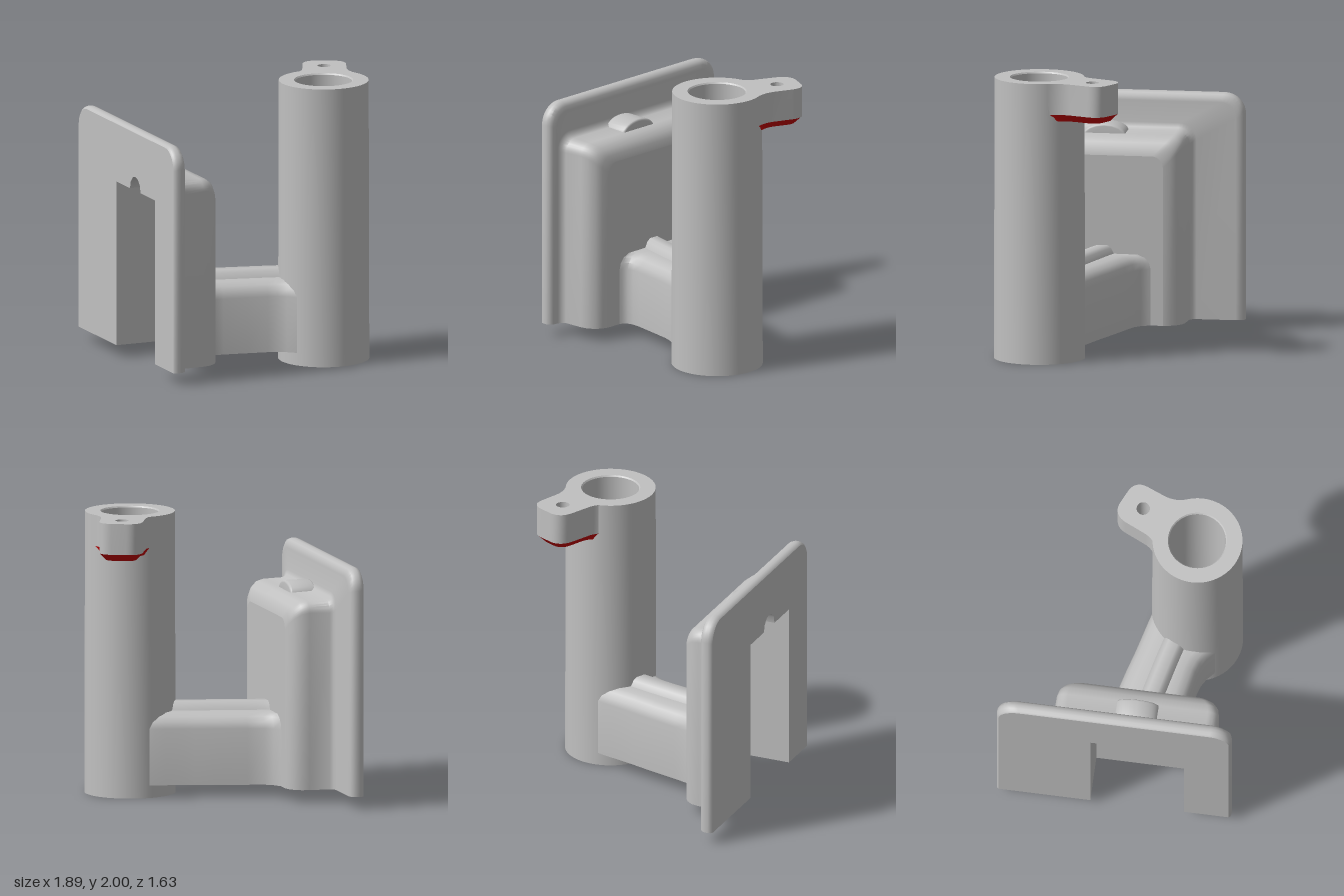
import * as THREE from 'three';
import { toCreasedNormals } from 'three/addons/utils/BufferGeometryUtils.js';

const V2 = (x, y) => new THREE.Vector2(x, y);
const V3 = (x, y, z) => new THREE.Vector3(x, y, z);
const BASE = 0.09; // underside of bracket and arm

// Skin a row of equally long cross-sections
function loft(sections, closed = false) {
  const n = sections[0].length, index = [];
  for (let i = 0; i < sections.length - 1; i++) {
    for (let j = 0; j < (closed ? n : n - 1); j++) {
      const a = i * n + j, b = i * n + (j + 1) % n;
      index.push(a, b, a + n, b, b + n, a + n);
    }
  }
  const g = new THREE.BufferGeometry().setFromPoints(sections.flat());
  g.setIndex(index);
  return toCreasedNormals(g, 0.7);
}

// Flat face from a 2D outline, placed in space by a mapping
function face(points, place, hole) {
  const shape = new THREE.Shape(points);
  if (hole) shape.holes.push(new THREE.Path(hole));
  const g = new THREE.ShapeGeometry(shape), p = g.attributes.position;
  for (let i = 0; i < p.count; i++) {
    const v = place(p.getX(i), p.getY(i));
    p.setXYZ(i, v.x, v.y, v.z);
  }
  g.computeVertexNormals();
  return g;
}

// Upside-down U outline with rounded top corners, open at the base
function archOutline(c, h, top, r) {
  const pts = [V2(c - h, BASE)];
  for (const [cx, from] of [[c - h + r, Math.PI], [c + h - r, Math.PI / 2]]) {
    for (let i = 0; i <= 8; i++) {
      const a = from - i * Math.PI / 16;
      pts.push(V2(cx + r * Math.cos(a), top - r + r * Math.sin(a)));
    }
  }
  pts.push(V2(c + h, BASE));
  return pts;
}

const circle = (x, y, r, n = 32) => Array.from({ length: n }, (_, i) => {
  const a = i / n * Math.PI * 2;
  return V2(x + r * Math.cos(a), y + r * Math.sin(a));
});

export function createModel() {
  const grey = new THREE.MeshStandardMaterial({ color: 0xc0c0c0, side: THREE.DoubleSide });
  grey.name = 'light grey';
  const red = new THREE.MeshStandardMaterial({ color: 0xc60000, side: THREE.DoubleSide });
  red.name = 'red';
  const model = new THREE.Group();
  const add = (parent, name, geometry, material = grey) => {
    const m = new THREE.Mesh(geometry, material);
    m.name = name;
    parent.add(m);
    return m;
  };

  // Bracket: back plate running into the rounded housing (local x = outward, z = along the plate)
  const bracket = new THREE.Group();
  bracket.name = 'bracket';
  bracket.position.x = -0.715;
  bracket.rotation.y = 0.2213;
  model.add(bracket);
  const steps = [ // depth, centre, half width, top, corner radius
    [-0.05, 0, 0.815, 1.685, 0.14], [-0.04, 0, 0.827, 1.697, 0.15], [-0.02, 0, 0.832, 1.703, 0.15],
    [0.005, 0, 0.832, 1.703, 0.15], [0.03, 0, 0.822, 1.693, 0.14], [0.045, 0, 0.8, 1.67, 0.13],
    [0.05, 0, 0.77, 1.64, 0.11], [0.05, 0.135, 0.625, 1.485, 0.12], [0.06, 0.135, 0.598, 1.453, 0.1],
    [0.085, 0.135, 0.58, 1.435, 0.09], [0.23, 0.135, 0.575, 1.43, 0.08], [0.285, 0.135, 0.562, 1.418, 0.08],
    [0.33, 0.135, 0.53, 1.385, 0.08], [0.358, 0.135, 0.49, 1.345, 0.08], [0.37, 0.135, 0.44, 1.295, 0.08],
  ];
  const outlines = steps.map(([, ...rest]) => archOutline(...rest));
  const at = (t) => (s, y) => V3(t, y, s);
  add(bracket, 'plateAndHousing', loft(outlines.map((o, i) => o.map((p) => at(steps[i][0])(p.x, p.y)))));
  add(bracket, 'housingFace', face(outlines.at(-1), at(0.37)));

  // Slot in the back, with a small arched notch above
  const s0 = -0.165, s1 = 0.5, depth = 0.27;
  const slot = [V2(s1, BASE), V2(s1, 1.27), V2(0.25, 1.27), V2(0.24, 1.32), V2(0.2, 1.36),
    V2(0.16, 1.37), V2(0.12, 1.36), V2(0.08, 1.32), V2(0.07, 1.27), V2(s0, 1.27), V2(s0, BASE)];
  add(bracket, 'plateBack', face([...outlines[0], ...slot], at(-0.05)));
  add(bracket, 'slotWalls', loft([-0.05, depth].map((t) => slot.map((p) => at(t)(p.x, p.y)))));
  add(bracket, 'slotEnd', face(slot, at(depth)));
  const low = steps.map(([t, c, h]) => V2(t, c - h));
  const high = steps.map(([t, c, h]) => V2(t, c + h)).reverse();
  add(bracket, 'bracketUnderside', face(
    [...low, ...high, V2(-0.05, s1), V2(depth, s1), V2(depth, s0), V2(-0.05, s0)],
    (t, s) => V3(t, BASE, s)));

  // Rounded bump on top of the housing
  const arch = [];
  for (let i = 0; i <= 16; i++) {
    const a = Math.PI * i / 16;
    arch.push(V2(-0.14 * Math.cos(a), 0.075 * Math.sin(a)));
  }
  const bump = add(bracket, 'housingBump', toCreasedNormals(new THREE.ExtrudeGeometry(new THREE.Shape(arch),
    { depth: 0.16, bevelEnabled: true, bevelSize: 0.015, bevelThickness: 0.015, bevelSegments: 3 }), 0.7));
  bump.rotation.y = -Math.PI / 2;
  bump.position.set(0.22, 1.405, 0.135);

  // Arm with a ridge, flaring into the housing and the tube
  const tx = 0.63, tz = 0.125;
  const armSteps = [ // x, skew, z min, z max
    [-0.35, 0.225, -0.33, 0.42], [-0.33, 0.225, -0.28, 0.355], [-0.3, 0.22, -0.24, 0.32],
    [-0.25, 0.2, -0.212, 0.3], [-0.15, 0.1, -0.205, 0.29], [0.05, 0, -0.197, 0.283],
    [0.2, 0, -0.187, 0.278], [0.27, 0, -0.184, 0.285], [0.33, 0, -0.182, 0.305],
    [0.4, 0, -0.18, 0.345], [0.47, 0, -0.178, 0.37], [0.55, 0, -0.172, 0.37],
  ];
  const armSections = armSteps.map(([x0, skew, a, b], i) => {
    const k = 0.03 * i / armSteps.length - 0.01;
    return [[a, BASE], [a, 0.49], [a + 0.012, 0.535], [a + 0.04, 0.57], [a + 0.09, 0.593],
      [-0.03 + k, 0.595], [-0.01 + k, 0.635], [0.015 + k, 0.655], [0.085 + k, 0.655], [0.11 + k, 0.635],
      [0.13 + k, 0.595], [b - 0.09, 0.593], [b - 0.04, 0.57], [b - 0.012, 0.535], [b, 0.49], [b, BASE],
    ].map(([z, y]) => {
      // Keep the arm's end inside the tube wall
      const dz = z - tz, r = 0.27;
      const limit = Math.abs(dz) < r ? tx - Math.sqrt(r * r - dz * dz) : Infinity;
      return V3(Math.min(x0 + skew * z, limit), y, z);
    });
  });
  add(model, 'arm', loft(armSections));

  // Hollow underside of the arm
  const pocket = [V2(-0.25, -0.07), V2(-0.21, -0.115), V2(0.24, -0.1), V2(0.3, -0.08), V2(0.31, -0.03),
    V2(0.27, 0.06), V2(0.27, 0.17), V2(0.24, 0.195), V2(-0.13, 0.205), V2(-0.18, 0.17)];
  const armEdge = [...armSections.map((s) => V2(s[0].x, s[0].z)),
    V2(0.44, -0.07), V2(0.36, 0.125),
    ...armSections.map((s) => V2(s.at(-1).x, s.at(-1).z)).slice(0, 10).reverse()];
  add(model, 'armUnderside', face(armEdge, (x, z) => V3(x, BASE, z), pocket));
  add(model, 'armPocketWalls', loft([BASE, 0.5].map((y) => pocket.map((p) => V3(p.x, y, p.y))), true));
  add(model, 'armPocketTop', face(pocket, (x, z) => V3(x, 0.5, z)));

  // Upright tube with a red lower end
  const tube = add(model, 'tube', toCreasedNormals(new THREE.LatheGeometry(
    [V2(0.321, 0), V2(0.316, 2), V2(0.208, 2), V2(0.2, 1.99), V2(0.2, 0)], 72), 0.5));
  tube.position.set(tx, 0, tz);
  const end = add(model, 'tubeLowerEnd', new THREE.RingGeometry(0.2, 0.321, 72), red);
  end.rotation.x = Math.PI / 2;
  end.position.set(tx, 0, tz);

  // Lug at the top of the tube, with a red chamfered underside and a bolt hole
  const path = new THREE.Path();
  path.moveTo(0.47, -0.13);
  path.quadraticCurveTo(0.535, -0.17, 0.55, -0.24);
  path.lineTo(0.583, -0.395);
  path.bezierCurveTo(0.6, -0.47, 0.65, -0.495, 0.71, -0.482);
  path.lineTo(0.81, -0.46);
  path.bezierCurveTo(0.87, -0.445, 0.895, -0.4, 0.884, -0.34);
  path.lineTo(0.86, -0.2);
  path.quadraticCurveTo(0.85, -0.11, 0.9, -0.04);
  path.lineTo(0.84, -0.05);
  path.lineTo(0.73, -0.13);
  path.lineTo(0.58, -0.14);
  const outer = path.getPoints(10);
  const inner = outer.map((p) => V2(0.72 + (p.x - 0.72) * 0.72, -0.29 + (p.y + 0.29) * 0.74));
  const hole = circle(0.722, -0.315, 0.047);
  const ring = (pts, y) => pts.map((p) => V3(p.x, y, p.y));
  add(model, 'lugSides', loft([ring(outer, 1.78), ring(outer, 2)], true));
  add(model, 'lugTop', face(outer, (x, z) => V3(x, 2, z), hole));
  add(model, 'lugHole', loft([ring(hole, 1.73), ring(hole, 2)], true));
  add(model, 'lugChamfer', loft([ring(inner, 1.73), ring(outer, 1.78)], true), red);
  add(model, 'lugUnderside', face(inner, (x, z) => V3(x, 1.73, z), hole), red);

  return model;
}
